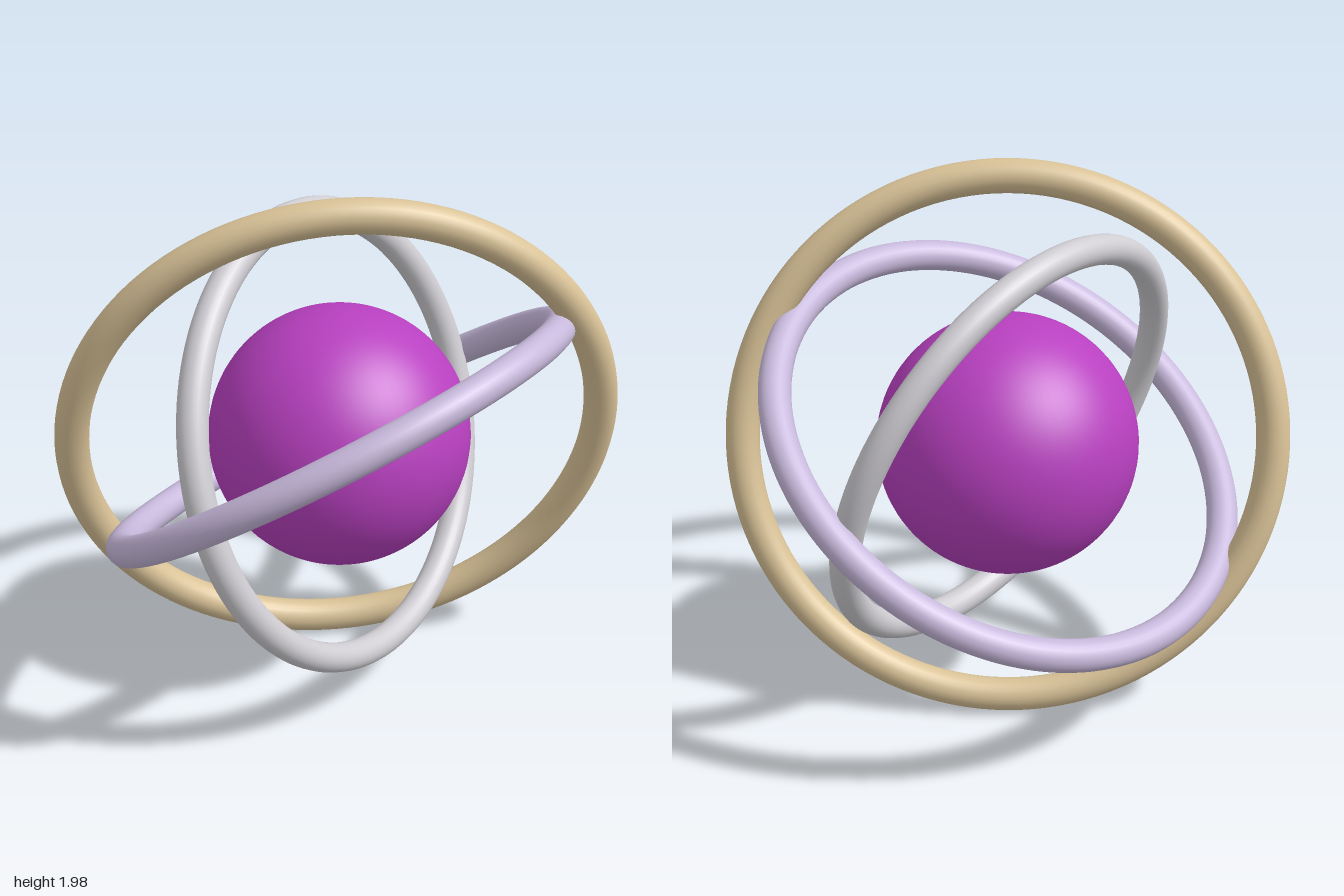
import * as THREE from 'three';

function material(name, color) {
  const m = new THREE.MeshStandardMaterial({ color });
  m.name = name;
  return m;
}

export function createModel() {
  const group = new THREE.Group();
  group.name = 'ringedOrb';
  const scale = 0.7663;
  const centreY = 0.99;

  // Central orb
  const orb = new THREE.Mesh(
    new THREE.SphereGeometry(0.618 * scale, 64, 48),
    material('purple', 0xb840c0)
  );
  orb.name = 'orb';
  orb.position.y = centreY;
  group.add(orb);

  // Three tilted rings: ring radius, tube radius, tilt about x and y
  const rings = [
    ['outerRing', 1.25, 0.08, 0.25, 0.2, material('gold', 0xd9c297)],
    ['middleRing', 1.15, 0.075, 1.25, 0.5, material('lilac', 0xc8b9dc)],
    ['innerRing', 1.05, 0.07, -0.6, 1.0, material('silver', 0xcfcdd2)],
  ];
  for (const [name, radius, tube, tiltX, tiltY, mat] of rings) {
    const ring = new THREE.Mesh(
      new THREE.TorusGeometry(radius * scale, tube * scale, 24, 128),
      mat
    );
    ring.name = name;
    ring.position.y = centreY;
    ring.rotation.set(tiltX, tiltY, 0);
    group.add(ring);
  }
  return group;
}
